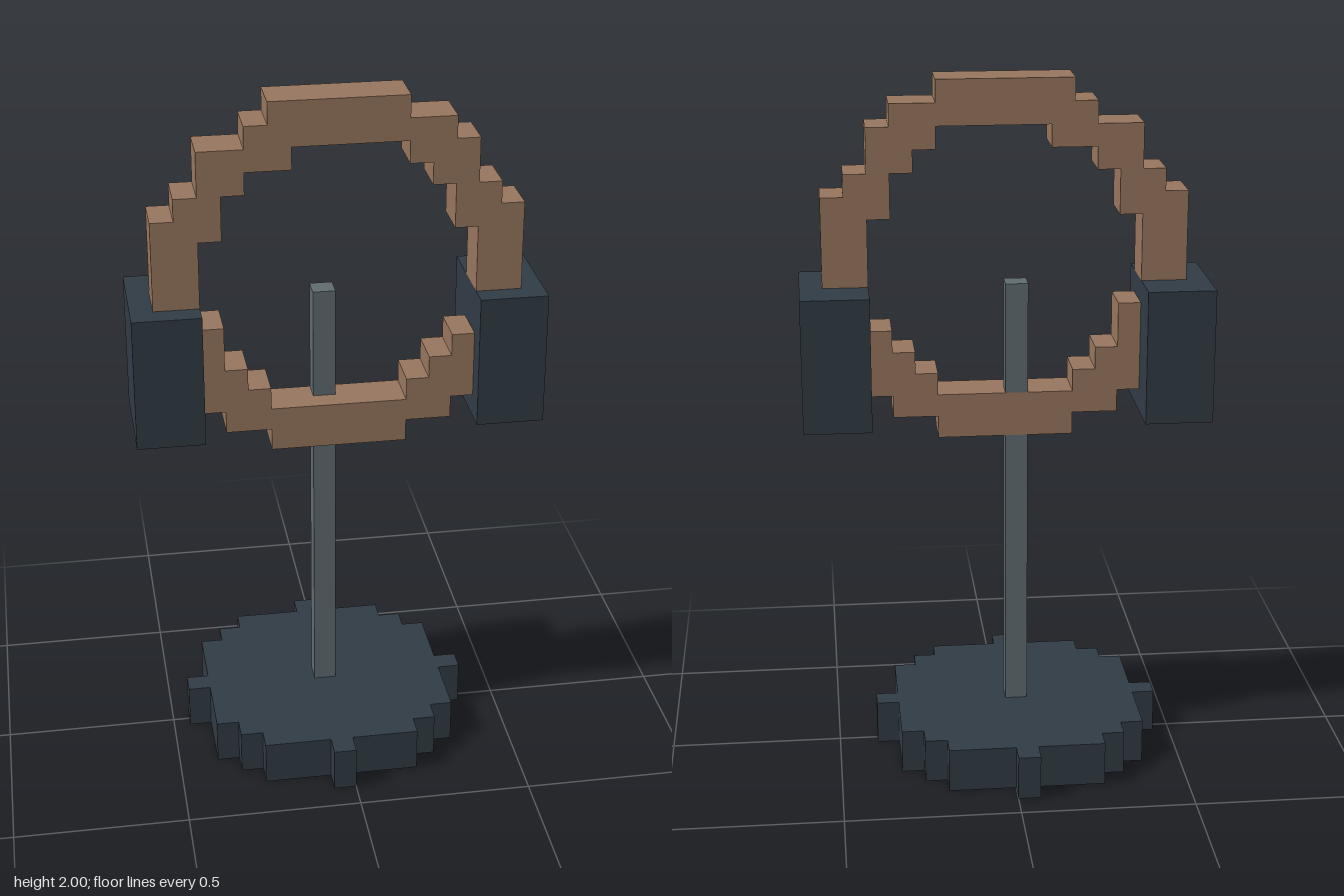
import * as THREE from 'three';

const U = 2 / 31; // one voxel

const wood = new THREE.MeshStandardMaterial({ color: 0x96755d, flatShading: true });
const dark = new THREE.MeshStandardMaterial({ color: 0x303b44, flatShading: true });
const metal = new THREE.MeshStandardMaterial({ color: 0x5f6b70, flatShading: true });

// Right-angled outline: from (x, y), the values alternate between a new y and a new x
function stairs(x, y, values) {
  const points = [new THREE.Vector2(x, y)];
  values.forEach((v, i) => {
    if (i % 2) x = v;
    else y = v;
    points.push(new THREE.Vector2(x, y));
  });
  return points;
}

function slab(points, depth) {
  return new THREE.ExtrudeGeometry(new THREE.Shape(points), { depth, bevelEnabled: false });
}

// Box from its two opposite corners, in voxels
function block(x0, y0, z0, x1, y1, z1) {
  return new THREE.BoxGeometry(x1 - x0, y1 - y0, z1 - z0)
    .translate((x0 + x1) / 2, (y0 + y1) / 2, (z0 + z1) / 2);
}

export function createModel() {
  const model = new THREE.Group();
  model.name = 'headphonesOnStand';

  const add = (name, geometry, material) => {
    const mesh = new THREE.Mesh(geometry.scale(U, U, U), material);
    mesh.name = name;
    model.add(mesh);
  };

  // Base: stepped disc of radius 6 cells
  const rightSide = [];
  for (let z = -6; z <= 6; z++) {
    const w = Math.floor(Math.sqrt(36 - z * z)) + 0.5;
    rightSide.push(new THREE.Vector2(w, z - 0.5), new THREE.Vector2(w, z + 0.5));
  }
  const leftSide = rightSide.map(p => new THREE.Vector2(-p.x, p.y)).reverse();
  const disc = slab([...rightSide, ...leftSide], 2).rotateX(-Math.PI / 2).translate(-0.5, 0, 0);
  add('base', disc, dark);

  // Pole, interrupted where the ring encloses it
  add('lowerPole', block(-1, 2, -0.5, 0, 15, 0.5), metal);
  add('upperPole', block(-1, 17, -0.5, 0, 22, 0.5), metal);

  // Headband: upper arch between the ear cups
  const arch = stairs(-8, 22, [
    26, -7, 27, -6, 29, -4, 30, -3, 31, 3, 30, 5, 29, 6, 27, 7, 26, 8, 22, // outer edge
    6, 25, 5, 27, 4, 28, 3, 29, -2, 28, -4, 27, -5, 25, -6, 22, // inner edge
  ]);
  add('headband', slab(arch, 2).translate(0, 0, -0.5), wood);

  // Cradle: lower arc joining the ear cups
  const cradle = stairs(-6, 17, [
    21, -5, 19, -4, 18, -3, 17, 3, 18, 4, 19, 5, 20, 6, 17, // inner edge
    5, 16, 3, 15, -3, 16, -5, 17, // outer edge
  ]);
  add('cradle', slab(cradle, 2).translate(0, 0, -0.5), wood);

  // Ear cups
  add('leftEarCup', block(6, 16, -2.5, 9, 22, 2.5), dark);
  add('rightEarCup', block(-9, 16, -2.5, -6, 22, 2.5), dark);

  return model;
}
